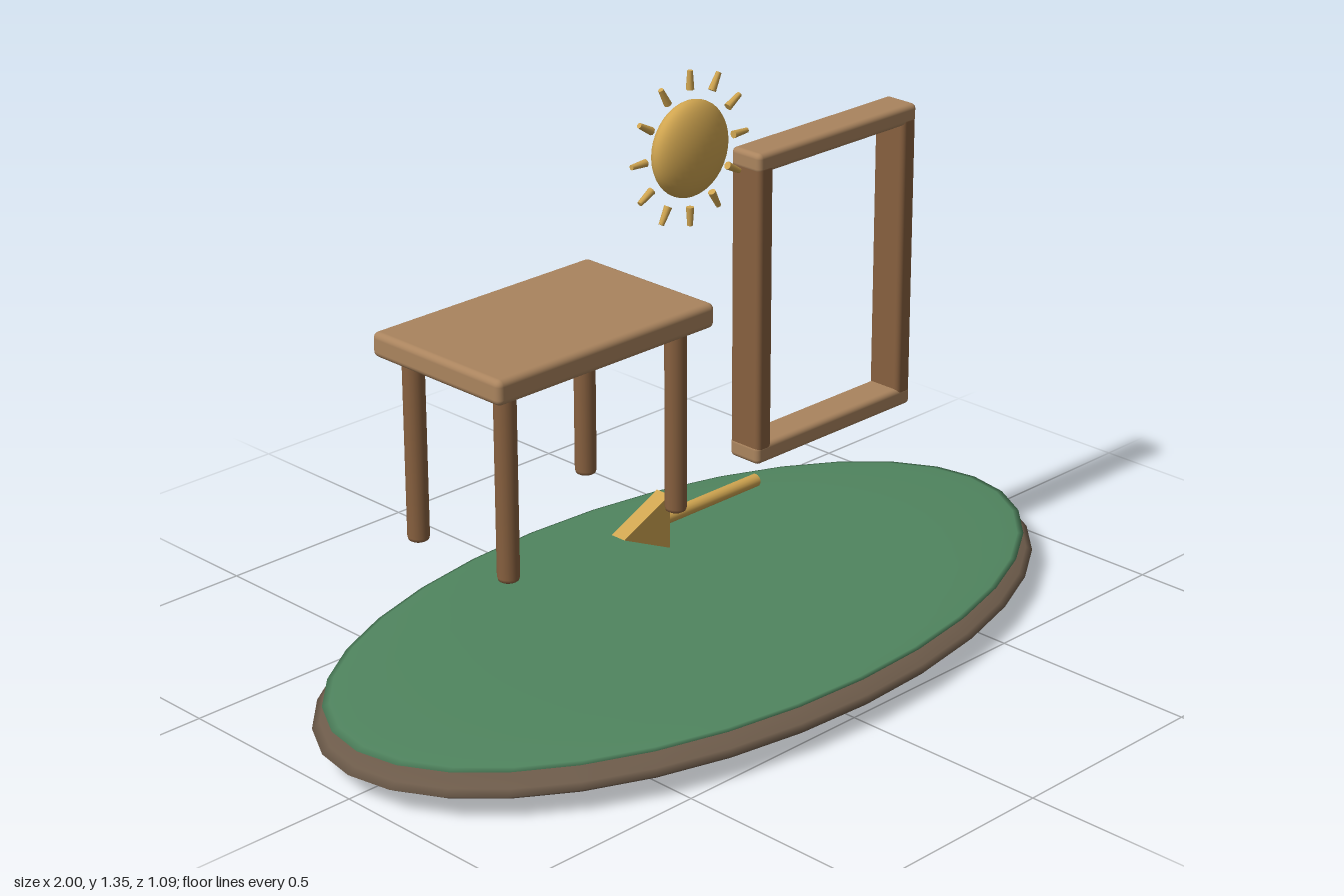
import * as THREE from 'three';
import { RoundedBoxGeometry } from 'three/addons/geometries/RoundedBoxGeometry.js';

const mat = (color) => new THREE.MeshStandardMaterial({ color });

export function createModel() {
  const model = new THREE.Group();
  const earth = mat(0x6e5c4b), grass = mat(0x50855f), lightWood = mat(0xaa845e);
  const darkWood = mat(0x87603f), gold = mat(0xd0a550);

  const add = (parent, name, geometry, material, x = 0, y = 0, z = 0) => {
    const mesh = new THREE.Mesh(geometry, material);
    mesh.name = name;
    mesh.position.set(x, y, z);
    parent.add(mesh);
    return mesh;
  };
  const group = (name, x = 0, y = 0, z = 0) => {
    const g = new THREE.Group();
    g.name = name;
    g.position.set(x, y, z);
    model.add(g);
    return g;
  };
  const block = (w, h, d, r) => new RoundedBoxGeometry(w, h, d, 3, r);

  // Oval island: flattened earth with a thin grass layer on top
  const island = group('island');
  const ball = new THREE.SphereGeometry(1, 32, 16);
  add(island, 'earth', ball, earth, 0, 0.06, 0).scale.set(1, 0.056, 0.545);
  add(island, 'grass', ball, grass, 0, 0.106, 0).scale.set(0.975, 0.017, 0.525);

  // Floating table with four round legs
  const table = group('table', -0.427, 0, 0);
  add(table, 'tableTop', block(0.615, 0.056, 0.39, 0.014), lightWood, 0, 0.887, 0);
  const legProfile = [[0, 0.44], [0.017, 0.44], [0.022, 0.443], [0.024, 0.45],
    [0.024, 0.85], [0.022, 0.857], [0.017, 0.862], [0, 0.862]];
  const legGeometry = new THREE.LatheGeometry(legProfile.map(([r, y]) => new THREE.Vector2(r, y)), 16);
  for (const x of [-0.243, 0.243])
    for (const z of [-0.14, 0.14]) add(table, 'tableLeg', legGeometry, darkWood, x, 0, z);

  // Upright open frame
  const frame = group('frame', 0.425, 0.767, 0);
  for (const s of [-1, 1]) {
    add(frame, s > 0 ? 'topRail' : 'bottomRail', block(0.512, 0.046, 0.088, 0.012), lightWood, 0, s * 0.343, 0);
    add(frame, 'framePost', block(0.046, 0.68, 0.088, 0.012), darkWood, s * 0.232, 0, 0);
  }

  // Sun: flattened disc and twelve tapering rays
  const sun = group('sun', 0, 1.18, 0);
  add(sun, 'sunDisc', new THREE.SphereGeometry(1, 32, 20), gold).scale.set(0.108, 0.108, 0.044);
  const rayGeometry = new THREE.CylinderGeometry(0.006, 0.009, 0.042, 8);
  for (let i = 0; i < 12; i++) {
    const a = i * Math.PI / 6;
    add(sun, 'sunRay', rayGeometry, gold, -Math.sin(a) * 0.153, Math.cos(a) * 0.153, 0).rotation.z = a;
  }

  // Arrow pointing toward -x: round shaft and flat triangular head
  const arrow = group('arrow', 0, 0.341, 0);
  add(arrow, 'arrowShaft', new THREE.CylinderGeometry(0.015, 0.015, 0.3, 16), gold, 0.06, 0, 0)
    .rotation.z = Math.PI / 2;
  const head = new THREE.Shape([[-0.222, 0], [-0.083, -0.064], [-0.083, 0.064]]
    .map(([x, y]) => new THREE.Vector2(x, y)));
  add(arrow, 'arrowHead', new THREE.ExtrudeGeometry(head, { depth: 0.04, bevelEnabled: false }), gold, 0, 0, -0.02);

  return model;
}
